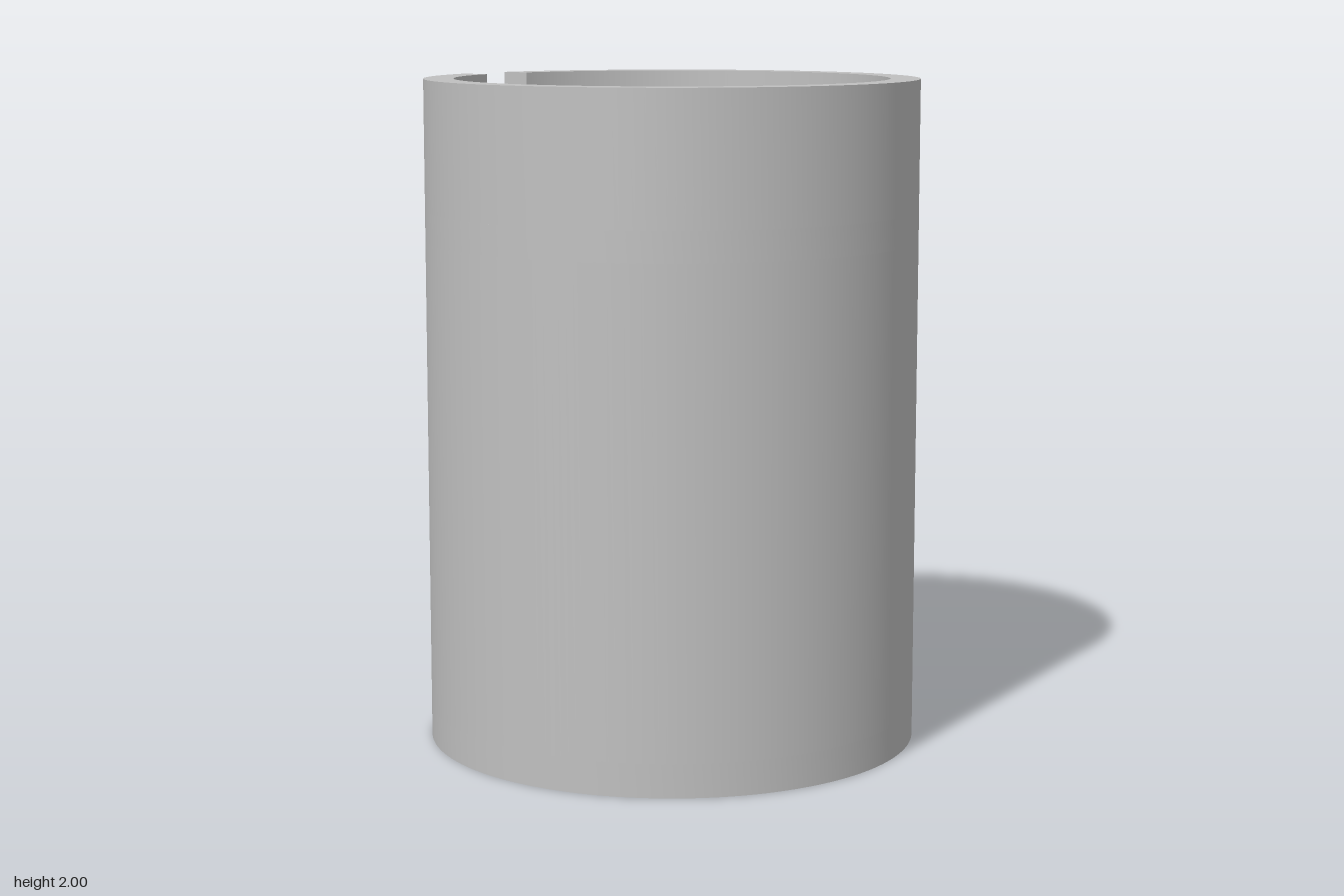
import * as THREE from 'three';
import { toCreasedNormals } from 'three/addons/utils/BufferGeometryUtils.js';

const OUTER = 0.74, BORE = 0.61, SEAT = 0.65;   // radii
const FLOOR = 0.1, LEDGE = 1.52, SLOT = 1.61, TOP = 2;   // heights
const SLOT_HALF = 0.095;

export function createModel() {
  const group = new THREE.Group();
  group.name = 'cup';
  const grey = new THREE.MeshStandardMaterial({ color: 0xc0c0c0 });
  grey.name = 'light grey';

  // Extrudes a plan shape (x, -z) upwards between two heights
  const slab = (name, shape, y0, y1) => {
    const raw = new THREE.ExtrudeGeometry(shape, { depth: y1 - y0, bevelEnabled: false, curveSegments: 96 });
    raw.rotateX(-Math.PI / 2).translate(0, y0, 0);
    const mesh = new THREE.Mesh(toCreasedNormals(raw, 0.5), grey);
    mesh.name = name;
    group.add(mesh);
  };
  const disc = (r, holes) => {
    const shape = new THREE.Shape().absarc(0, 0, r, 0, Math.PI * 2);
    for (const [x, y, hr] of holes) {
      shape.holes.push(new THREE.Path().absarc(x, y, hr, 0, Math.PI * 2, true));
    }
    return shape;
  };

  // Floor with two small holes and one large hole
  slab('floor', disc(OUTER, [[0, 0.453, 0.056], [0, -0.453, 0.056], [-0.325, 0, 0.09]]), 0, FLOOR);

  // Thick lower wall, then the thinner wall above the inner ledge
  slab('lowerWall', disc(OUTER, [[0, 0, BORE]]), FLOOR, LEDGE);
  slab('ledgeWall', disc(OUTER, [[0, 0, SEAT]]), LEDGE, SLOT);

  // Rim, open at the slot on the -x side
  const a = Math.PI - Math.asin(SLOT_HALF / OUTER);
  const b = Math.PI - Math.asin(SLOT_HALF / SEAT);
  const rim = new THREE.Shape();
  rim.absarc(0, 0, OUTER, -a, a, false);
  rim.absarc(0, 0, SEAT, b, -b, true);
  rim.closePath();
  slab('slottedRim', rim, SLOT, TOP);

  // Raised block on the floor, its far corners trimmed to the bore
  const half = 0.39, end = 0.575;
  const near = Math.asin(half / BORE), far = Math.acos(end / BORE);
  const block = new THREE.Shape();
  block.moveTo(-0.2, -half);
  block.absarc(0, 0, BORE, -near, -far, false);
  block.absarc(0, 0, BORE, far, near, false);
  block.lineTo(-0.2, half);
  block.closePath();
  slab('innerBlock', block, FLOOR, 0.5);

  return group;
}
